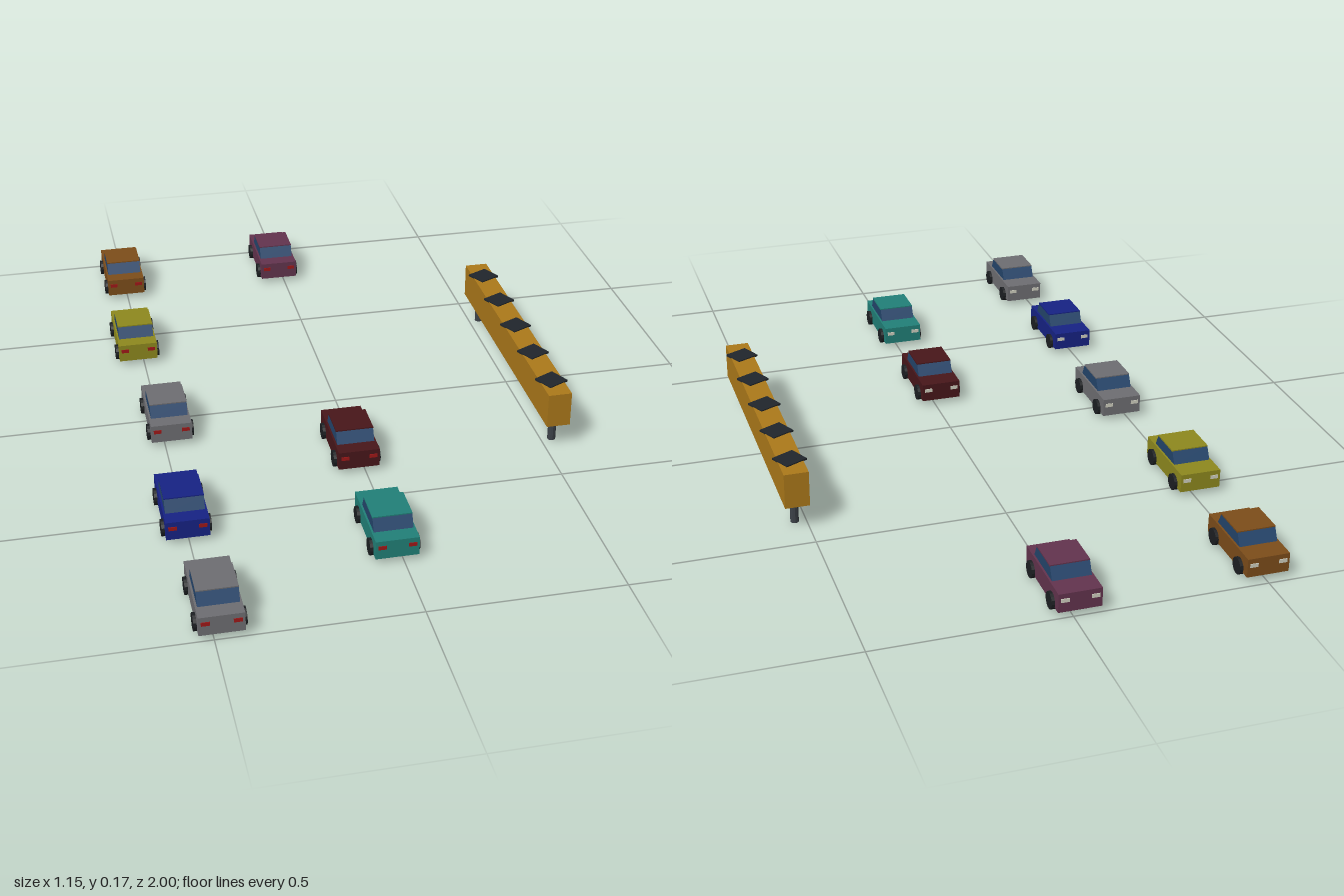
import * as THREE from 'three';

const mat = (color) => new THREE.MeshStandardMaterial({ color, flatShading: true });
const glass = mat(0x24456c);
const rubber = mat(0x1c1f22);
const tailRed = mat(0xa01818);
const lampWhite = mat(0xd0d0c0);
const steel = mat(0x3c4248);
const panelDark = mat(0x20262c);
const ochre = mat(0xac791a);

function add(parent, name, geometry, material, x = 0, y = 0, z = 0) {
  const mesh = new THREE.Mesh(geometry, material);
  mesh.name = name;
  mesh.position.set(x, y, z);
  parent.add(mesh);
  return mesh;
}

// Side profile given as [z, y] points, extruded across x
function sideProfile(points, width) {
  const shape = new THREE.Shape(points.map(([z, y]) => new THREE.Vector2(z, y)));
  return new THREE.ExtrudeGeometry(shape, { depth: width, bevelEnabled: false })
    .rotateY(-Math.PI / 2)
    .translate(width / 2, 0, 0);
}

const bodyGeo = new THREE.BoxGeometry(0.11, 0.05, 0.228);
const cabinGeo = sideProfile([[-0.055, 0.064], [0.072, 0.064], [0.056, 0.096], [-0.038, 0.096]], 0.1);
const roofGeo = new THREE.BoxGeometry(0.101, 0.004, 0.094);
const wheelGeo = new THREE.CylinderGeometry(0.022, 0.022, 0.017, 14).rotateZ(Math.PI / 2);
const lampGeo = new THREE.BoxGeometry(0.021, 0.01, 0.003);

function createCar(color, x, z) {
  const car = new THREE.Group();
  car.name = 'car';
  const paint = mat(color);
  add(car, 'body', bodyGeo, paint, 0, 0.04, 0);
  add(car, 'cabinWindows', cabinGeo, glass);
  add(car, 'roof', roofGeo, paint, 0, 0.097, 0.009);
  for (const side of [-1, 1]) {
    for (const end of [-1, 1]) add(car, 'wheel', wheelGeo, rubber, side * 0.0545, 0.025, end * 0.071);
    add(car, 'tailLight', lampGeo, tailRed, side * 0.038, 0.047, 0.1145);
    add(car, 'headlight', lampGeo, lampWhite, side * 0.038, 0.047, -0.1145);
  }
  car.position.set(x, 0, z);
  return car;
}

// Long raised beam on two posts with turned plates along its top
function createBeam() {
  const beam = new THREE.Group();
  beam.name = 'raisedBeam';
  add(beam, 'beamBox', new THREE.BoxGeometry(0.064, 0.096, 0.803), ochre, 0, 0.116, 0);
  const postGeo = new THREE.CylinderGeometry(0.011, 0.011, 0.07, 10);
  for (const z of [-0.353, 0.353]) add(beam, 'post', postGeo, steel, 0, 0.035, z);
  const plateGeo = new THREE.BoxGeometry(0.064, 0.005, 0.06);
  for (let i = -2; i <= 2; i++) {
    add(beam, 'topPlate', plateGeo, panelDark, 0, 0.1645, i * 0.161).rotation.y = 0.46;
  }
  beam.position.set(0.53, 0, -0.031);
  return beam;
}

export function createModel() {
  const model = new THREE.Group();
  model.name = 'carsAndBeam';
  const cars = [
    [0x7d4d1a, -0.503, -0.87],
    [0x8e891e, -0.516, -0.44],
    [0x6e6e72, -0.481, 0.028],
    [0x162284, -0.503, 0.49],
    [0x6e6e72, -0.481, 0.884],
    [0x63344e, -0.017, -0.884],
    [0x48161a, -0.018, 0.265],
    [0x218078, -0.017, 0.678],
  ];
  for (const [color, x, z] of cars) model.add(createCar(color, x, z));
  model.add(createBeam());
  return model;
}
